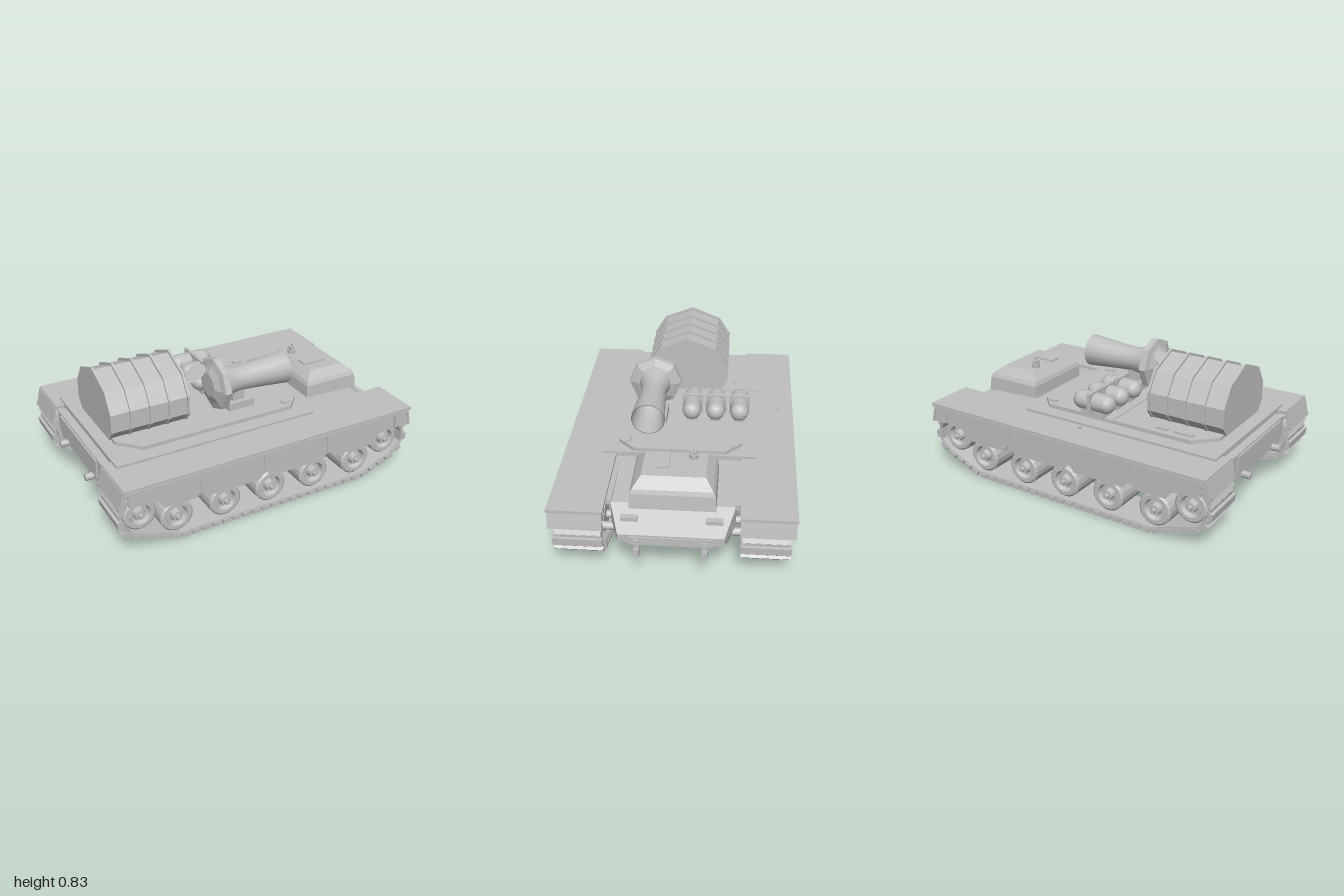
import * as THREE from 'three';

export function createModel() {
  const model = new THREE.Group();
  const paint = new THREE.MeshStandardMaterial({ color: 0xbfbfbf });
  paint.name = 'greyPaint';

  const add = (name, geo, parent = model) => {
    const m = new THREE.Mesh(geo, paint);
    m.name = name;
    parent.add(m);
    return m;
  };
  const flat = (g) => {
    const f = g.index ? g.toNonIndexed() : g;
    f.computeVertexNormals();
    return f;
  };
  // Box given by its limits on each axis
  const box = (name, x0, x1, y0, y1, z0, z1, parent) => {
    const g = new THREE.BoxGeometry(x1 - x0, y1 - y0, z1 - z0);
    return add(name, g.translate((x0 + x1) / 2, (y0 + y1) / 2, (z0 + z1) / 2), parent);
  };
  // Closed skin over rings of points, counter-clockwise around the stacking direction
  const loft = (rings) => {
    const p = [], n = rings[0].length, last = rings.length - 1;
    const tri = (a, b, c) => p.push(...a, ...b, ...c);
    for (let i = 0; i < last; i++) for (let j = 0; j < n; j++) {
      const k = (j + 1) % n, A = rings[i], B = rings[i + 1];
      tri(A[j], A[k], B[k]);
      tri(A[j], B[k], B[j]);
    }
    for (let j = 1; j < n - 1; j++) {
      tri(rings[0][0], rings[0][j + 1], rings[0][j]);
      tri(rings[last][0], rings[last][j], rings[last][j + 1]);
    }
    const g = new THREE.BufferGeometry();
    g.setAttribute('position', new THREE.Float32BufferAttribute(p, 3));
    return flat(g);
  };
  const extrude = (pts, depth) => new THREE.ExtrudeGeometry(
    new THREE.Shape(pts.map(([x, y]) => new THREE.Vector2(x, y))), { depth, bevelEnabled: false });
  const cylX = (r, len, sides, r2 = r) => new THREE.CylinderGeometry(r2, r, len, sides).rotateZ(-Math.PI / 2);
  const cylZ = (r0, r1, len, sides) => new THREE.CylinderGeometry(r1, r0, len, sides).rotateX(Math.PI / 2);

  // Hull: x, bottom, chine, top, bottom half-width, top half-width
  add('hull', loft([
    [-0.95, 0.26, 0.30, 0.42, 0.30, 0.35], [-0.82, 0.17, 0.28, 0.42, 0.32, 0.36],
    [0.38, 0.17, 0.28, 0.42, 0.32, 0.36], [0.80, 0.17, 0.28, 0.405, 0.31, 0.345],
    [0.96, 0.25, 0.27, 0.31, 0.23, 0.29],
  ].map(([x, b, c, t, hb, ht]) => [
    [x, t, -ht], [x, t, ht], [x, c, ht], [x, b, hb], [x, b, -hb], [x, c, -ht]])));
  box('upperDeck', -0.9, 0.375, 0.40, 0.45, -0.455, 0.455);
  box('rearPlate', -0.96, -0.945, 0.30, 0.41, -0.29, 0.29);
  box('nosePlate', 0.955, 0.968, 0.25, 0.30, -0.23, 0.23);

  // Chamfered mounting plate with raised rim blocks
  add('mountingPlate', extrude([[-0.82, -0.24], [-0.70, -0.365], [0.27, -0.365], [0.36, -0.27],
    [0.36, 0.27], [0.27, 0.365], [-0.70, 0.365], [-0.82, 0.24]], 0.025)
    .rotateX(-Math.PI / 2).translate(0, 0.447, 0));
  for (const [x, z, w] of [[-0.63, -0.31, 0.12], [-0.49, -0.31, 0.07], [0.28, -0.31, 0.06], [0.27, 0.31, 0.06]])
    box('plateLug', x - w / 2, x + w / 2, 0.465, 0.482, z - 0.015, z + 0.015);

  // Driver cab: y, rear x, front x, half-width
  add('cab', loft([
    [0.40, 0.47, 0.845, 0.24], [0.49, 0.475, 0.835, 0.235], [0.515, 0.485, 0.825, 0.222], [0.565, 0.53, 0.76, 0.178],
  ].map(([y, a, b, h]) => [[b, y, h], [b, y, -h], [a, y, -h], [a, y, h]])));
  box('cabHatch', 0.54, 0.69, 0.56, 0.575, 0.03, 0.10);
  add('periscopeBase', cylZ(0.025, 0.025, 0.025, 8).rotateX(Math.PI / 2).translate(0.57, 0.575, -0.10));
  box('periscope', 0.555, 0.585, 0.58, 0.61, -0.115, -0.085);
  box('periscopeTip', 0.568, 0.578, 0.605, 0.625, -0.105, -0.095);

  // Faceted drum with five ribs
  const drumSection = (s) => [[-0.20, 0.475], [0.20, 0.475], [0.245, 0.53], [0.245, 0.64], [0.175, 0.75],
    [0, 0.82], [-0.175, 0.75], [-0.245, 0.64], [-0.245, 0.53]]
    .map(([z, y]) => [z * s, 0.475 + (y - 0.475) * s]);
  const drumPart = (name, x, w, s) =>
    add(name, extrude(drumSection(s), w).rotateY(Math.PI / 2).translate(x, 0, 0));
  drumPart('drum', -0.835, 0.47, 1);
  for (let i = 0; i < 5; i++) drumPart('drumRib', -0.842 + i * 0.119, 0.013, 1.045);

  // Octagonal collar and flared horn
  const horn = new THREE.Group();
  horn.name = 'horn';
  horn.position.set(0, 0.647, 0.185);
  model.add(horn);
  const collar = [[0, -0.197], [0.075, -0.197], [0.12, -0.175], [0.162, -0.165], [0.162, -0.125],
    [0.12, -0.105], [0.07, -0.09], [0, -0.09]];
  const latheX = (pts, n) => new THREE.LatheGeometry(pts.map(([r, x]) => new THREE.Vector2(r, x)), n)
    .rotateZ(-Math.PI / 2);
  add('hornCollar', flat(latheX(collar, 8)), horn);
  add('hornBell', latheX([[0.10, -0.11], [0.085, -0.06], [0.075, 0.0], [0.08, 0.08], [0.09, 0.20], [0.10, 0.32],
    [0.094, 0.32], [0.084, 0.20], [0.068, 0.05], [0, 0.03]], 16), horn);
  box('hornPedestal', -0.09, 0.08, 0.465, 0.52, 0.10, 0.25);
  box('hornPost', -0.05, 0.03, 0.51, 0.59, 0.15, 0.22);
  add('reflector', new THREE.SphereGeometry(0.075, 14, 3, 0, Math.PI * 2, 0, 0.5)
    .scale(2.0, 0.2, 2.0).translate(0, -0.015, 0))
    .position.set(-0.25, 0.71, 0.12);
  const reflector = model.children[model.children.length - 1];
  reflector.rotation.z = 0.65;
  box('reflectorArm', -0.21, -0.18, 0.715, 0.73, 0.12, 0.14);

  // Three gas bottles with square clamps
  for (const z of [-0.342, -0.197, -0.052]) {
    add('bottle', new THREE.CapsuleGeometry(0.057, 0.18, 4, 12).rotateZ(Math.PI / 2)
      .scale(0.94, 1, 1).translate(-0.048, 0.55, z));
    box('bottleClamp', -0.058, -0.036, 0.485, 0.615, z - 0.064, z + 0.064);
    box('bottleCradle', -0.13, 0.03, 0.465, 0.505, z - 0.035, z + 0.035);
  }
  box('aerial', -0.262, -0.257, 0.528, 0.533, -0.46, -0.05);
  box('aerialFoot', -0.27, -0.25, 0.47, 0.54, -0.06, -0.04);
  box('aerialTip', -0.118, -0.104, 0.485, 0.499, -0.592, -0.577);

  // Running gear on both sides
  const path = [[-0.62, 0.032], [0.61, 0.032], [0.85, 0.125], [0.913, 0.185], [0.918, 0.26], [0.87, 0.335], [0.79, 0.36],
    [-0.85, 0.36], [-0.93, 0.335], [-0.972, 0.26], [-0.96, 0.175], [-0.91, 0.13]];
  const skirts = [
    [[-0.93, 0.42], [-0.93, 0.33], [-0.76, 0.31], [-0.72, 0.26], [-0.53, 0.26], [-0.495, 0.30], [-0.495, 0.42]],
    [[-0.485, 0.42], [-0.485, 0.29], [-0.45, 0.25], [-0.13, 0.25], [-0.095, 0.29], [-0.095, 0.42]],
    [[-0.085, 0.42], [-0.085, 0.29], [-0.05, 0.25], [0.30, 0.25], [0.335, 0.29], [0.335, 0.42]],
    [[0.345, 0.42], [0.345, 0.29], [0.38, 0.25], [0.66, 0.25], [0.70, 0.31], [0.82, 0.32], [0.82, 0.42]],
    [[0.83, 0.42], [0.83, 0.32], [0.935, 0.315], [0.91, 0.42]],
    [[-0.94, 0.42], [-0.94, 0.32], [-0.975, 0.31], [-0.955, 0.42]],
  ];
  for (const s of [1, -1]) {
    const side = new THREE.Group();
    side.name = s > 0 ? 'leftRunningGear' : 'rightRunningGear';
    model.add(side);
    const bx = (name, x0, x1, y0, y1, a, b) =>
      box(name, x0, x1, y0, y1, Math.min(a * s, b * s), Math.max(a * s, b * s), side);

    // Belt segments and evenly spaced tread pads
    path.forEach(([x0, y0], i) => {
      const [x1, y1] = path[(i + 1) % path.length];
      const dx = x1 - x0, dy = y1 - y0, len = Math.hypot(dx, dy), a = Math.atan2(dy, dx);
      const belt = add('trackBelt', new THREE.BoxGeometry(len + 0.008, 0.016, 0.26), side);
      belt.position.set((x0 + x1) / 2, (y0 + y1) / 2, 0.517 * s);
      belt.rotation.z = a;
      const n = Math.max(1, Math.round(len / 0.066));
      for (let k = 0; k < n; k++) {
        const t = (k + 0.5) / n;
        const pad = add('trackPad', new THREE.BoxGeometry(0.046, 0.026, 0.275), side);
        pad.position.set(x0 + dx * t + Math.sin(a) * 0.013, y0 + dy * t - Math.cos(a) * 0.013, 0.517 * s);
        pad.rotation.z = a;
      }
    });

    // Dished wheels with hubs
    const wheels = [-0.63, -0.325, -0.025, 0.275, 0.58].map((x) => [x, 0.145, 0.1]);
    wheels.push([-0.85, 0.23, 0.098], [0.79, 0.23, 0.098]);
    for (const [x, y, r] of wheels) {
      const w = new THREE.Group();
      w.name = 'wheel';
      w.position.set(x, y, 0.53 * s);
      if (s < 0) w.rotation.y = Math.PI;
      side.add(w);
      const tyre = [[0, -0.12], [r, -0.12], [r, 0.09], [r * 0.88, 0.1], [r * 0.65, 0.1], [r * 0.55, 0.07], [0, 0.07]];
      add('wheelDisc', flat(new THREE.LatheGeometry(tyre.map(([a, b]) => new THREE.Vector2(a, b)), 20)
        .rotateX(Math.PI / 2)), w);
      add('wheelHub', cylZ(0.038, 0.03, 0.04, 8).translate(0, 0, 0.085), w);
      add('wheelCap', cylZ(0.018, 0.014, 0.03, 6).translate(0, 0, 0.112), w);
      add('axle', cylZ(0.025, 0.025, 0.12, 8).translate(0, 0, -0.17), w);
    }

    // Fender, skirts and end flaps
    bx('fender', -0.955, 0.94, 0.418, 0.436, 0.37, 0.678);
    bx('fenderRail', -0.95, 0.92, 0.405, 0.42, 0.655, 0.682);
    bx('sponson', -0.9, 0.80, 0.385, 0.42, 0.34, 0.40);
    for (const pts of skirts)
      add('skirtPanel', extrude(pts, 0.014), side).position.z = s > 0 ? 0.66 : -0.674;
    for (const x of [-0.49, -0.09, 0.34]) bx('skirtStrap', x - 0.012, x + 0.012, 0.29, 0.41, 0.672, 0.679);
    for (const [x, lean] of [[-0.968, -0.22], [0.93, 0.22]]) {
      const flap = add('mudFlap', new THREE.BoxGeometry(0.012, 0.115, 0.30), side);
      flap.position.set(x, 0.37, 0.525 * s);
      flap.rotation.z = lean;
      for (const z of [0.385, 0.66]) bx('flapPin', x - 0.02, x + 0.01, 0.315, 0.34, z - 0.01, z + 0.01);
    }

    // Lamp bars and towing points
    bx('lampBar', 0.86, 0.895, 0.345, 0.372, 0.185, 0.28);
    bx('towArm', 0.94, 0.98, 0.23, 0.285, 0.17, 0.2);
    bx('towHook', 0.96, 0.997, 0.185, 0.238, 0.17, 0.2);
    add('rearTowPin', cylX(0.022, 0.06, 8), side).position.set(-0.97, 0.27, 0.205 * s);
  }
  return model;
}
